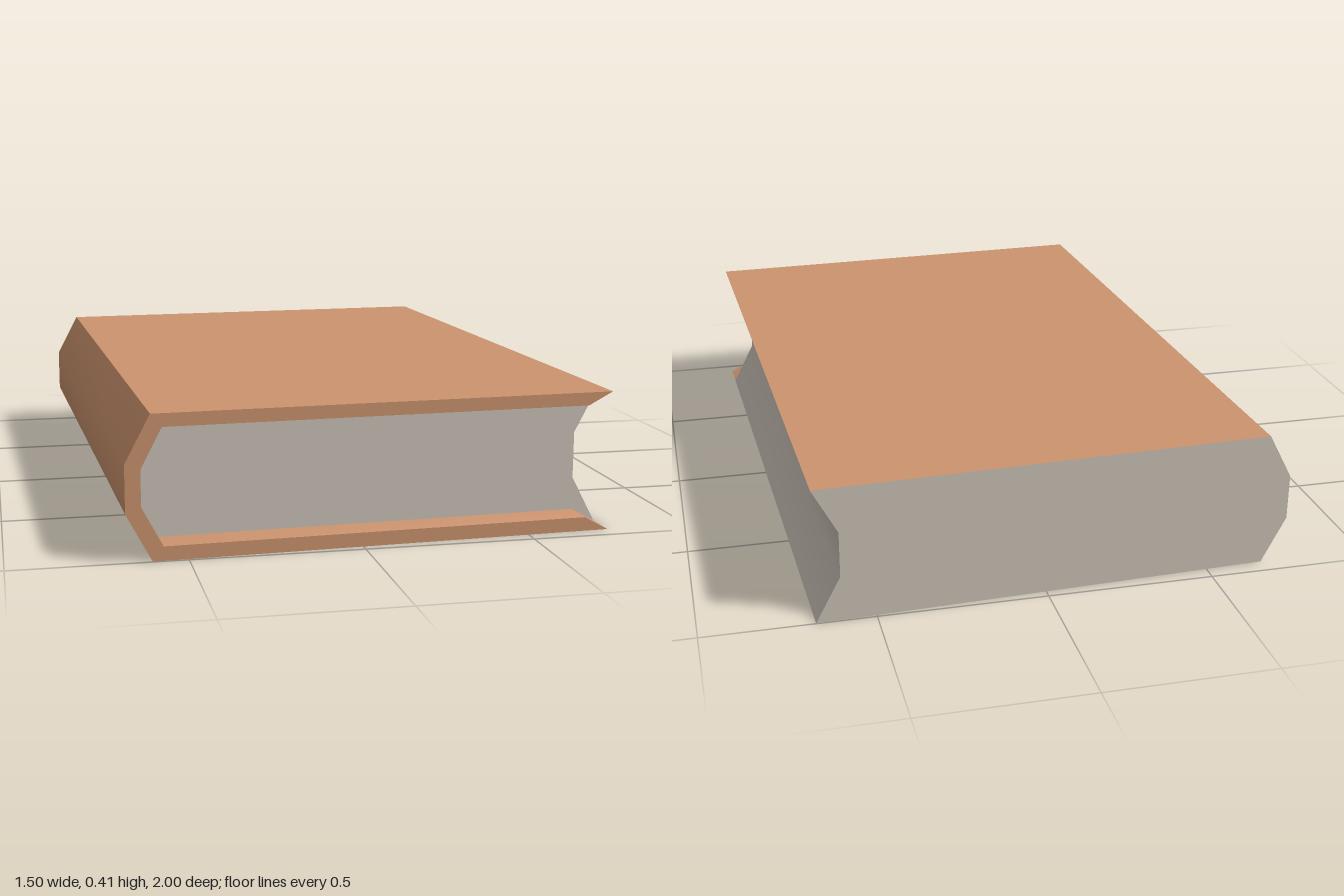
import * as THREE from 'three';
import { toCreasedNormals } from 'three/addons/utils/BufferGeometryUtils.js';

const BACK = -0.973, FRONT = 0.973, PAGE_FRONT = 0.877;
const H = 0.413;

// Cross-section paths (x, y)
const outer = [[0.711, H], [-0.638, H], [-0.711, 0.276], [-0.711, 0.138], [-0.638, 0], [0.711, 0]];
const inner = [[0.711, 0], [0.638, 0.041], [-0.607, 0.041], [-0.667, 0.155], [-0.667, 0.26], [-0.607, 0.375], [0.638, 0.375], [0.711, H]];
const fore = [[0.711, 0], [0.638, 0.138], [0.638, 0.276], [0.711, H]];

// Open band swept along z; its front lies to the right of the path
function band(path, z0, z1) {
  const pos = [];
  for (let i = 0; i < path.length - 1; i++) {
    const [a, b] = [path[i], path[i + 1]];
    pos.push(...a, z0, ...b, z0, ...b, z1, ...a, z0, ...b, z1, ...a, z1);
  }
  const geo = new THREE.BufferGeometry();
  geo.setAttribute('position', new THREE.Float32BufferAttribute(pos, 3));
  return toCreasedNormals(geo, 0.9);
}

// Flat face across the book, facing the front or the back
function face(points, z, back = false) {
  const s = back ? -1 : 1;
  const geo = new THREE.ShapeGeometry(new THREE.Shape(points.map(([x, y]) => new THREE.Vector2(s * x, y))));
  if (back) geo.rotateY(Math.PI);
  return geo.translate(0, 0, z);
}

export function createModel() {
  const coverMat = new THREE.MeshStandardMaterial({ color: 0xcb936e });
  coverMat.name = 'tan leather';
  const pageMat = new THREE.MeshStandardMaterial({ color: 0xcac2b7 });
  pageMat.name = 'page grey';

  const book = new THREE.Group();
  book.name = 'book';
  const add = (name, geo, mat) => {
    const mesh = new THREE.Mesh(geo, mat);
    mesh.name = name;
    book.add(mesh);
  };

  // Cover: boards and spine, front rim, and the lining of the overhang
  add('coverAndSpine', band(outer, BACK, FRONT), coverMat);
  add('coverRim', face([...outer, ...inner.slice(1, -1)], FRONT), coverMat);
  add('coverLining', band(inner, PAGE_FRONT, FRONT), coverMat);

  // Pages: concave fore edge, recessed front end and flush back end
  const foreDown = [...fore].reverse();
  add('pagesForeEdge', band(fore, BACK, PAGE_FRONT), pageMat);
  add('pagesFrontEnd', face([...inner, ...foreDown.slice(1, -1)], PAGE_FRONT), pageMat);
  add('pagesBackEnd', face([...outer, ...fore.slice(1, -1)], BACK, true), pageMat);

  // The book lies slightly turned
  book.rotation.y = 0.0384;
  const model = new THREE.Group();
  model.add(book);
  return model;
}
